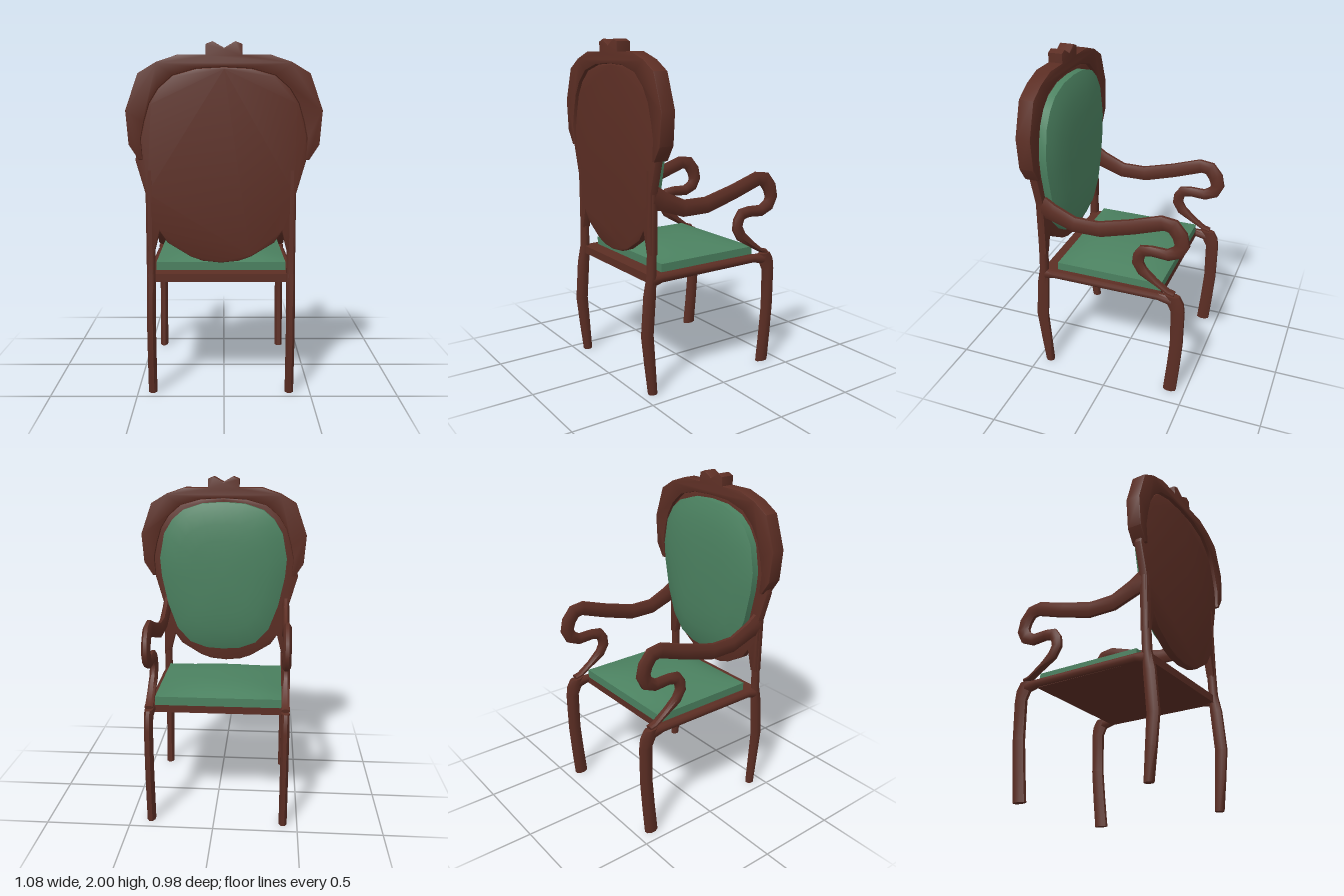
import * as THREE from 'three';
import { toCreasedNormals } from 'three/addons/utils/BufferGeometryUtils.js';

const wood = new THREE.MeshStandardMaterial({ color: 0x5c2e24 });
wood.name = 'dark wood';
const fabric = new THREE.MeshStandardMaterial({ color: 0x4b8160 });
fabric.name = 'green fabric';

const CX = -0.0175; // middle line between the legs
const SIDE = 0.3975; // legs and arms sit this far either side of it

function indexed(pos, idx, crease) {
  const g = new THREE.BufferGeometry();
  g.setAttribute('position', new THREE.Float32BufferAttribute(pos, 3));
  g.setIndex(idx);
  return toCreasedNormals(g, crease);
}

// Octagonal bar in the y-z plane through [z, y, half thickness]; dir fixes the section direction
function bar(points, halfWidth, dir) {
  const pos = [], idx = [], n = 8, k = 1 / Math.cos(Math.PI / n);
  points.forEach(([z, y, h], i) => {
    const a = points[Math.max(i - 1, 0)], b = points[Math.min(i + 1, points.length - 1)];
    const t = dir ? new THREE.Vector2(...dir) : new THREE.Vector2(b[0] - a[0], b[1] - a[1]).normalize();
    for (let j = 0; j < n; j++) {
      const ang = ((j + 0.5) / n) * Math.PI * 2, s = Math.sin(ang) * h * k;
      pos.push(Math.cos(ang) * halfWidth * k, y + t.x * s, z - t.y * s);
      const c = i * n + j, d = i * n + (j + 1) % n;
      if (i < points.length - 1) idx.push(c, d, d + n, c, d + n, c + n);
    }
  });
  const e = (points.length - 1) * n;
  for (let j = 1; j < n - 1; j++) idx.push(0, j + 1, j, e, e + j, e + j + 1);
  return indexed(pos, idx, 0.85);
}

// Flat board cut from an outline, with softened edges, between z0 and z1
function board(outline, z0, z1, bevel) {
  const shape = new THREE.Shape(outline.map(([x, y]) => new THREE.Vector2(x, y)));
  const g = new THREE.ExtrudeGeometry(shape, {
    depth: z1 - z0 - 2 * bevel, bevelEnabled: true, bevelThickness: bevel,
    bevelSize: bevel, bevelOffset: -bevel, bevelSegments: 2,
  });
  g.translate(0, 0, z0 + bevel);
  return toCreasedNormals(g, 0.6);
}

const mirror = (pts, cx = 0) => pts.map(([x, y]) => [2 * cx - x, y]).reverse();

// Seat cushion: a slab with a domed top
function seatCushion() {
  const w = 0.749, d = 0.665;
  const g = new THREE.BoxGeometry(w, 0.1, d, 12, 1, 12);
  const p = g.attributes.position;
  for (let i = 0; i < p.count; i++) {
    const u = Math.abs(p.getX(i)) / (w / 2), v = Math.abs(p.getZ(i)) / (d / 2);
    const dome = (1 - u ** 2.2) * (1 - v ** 3.5);
    p.setY(i, p.getY(i) > 0 ? 0.757 + 0.049 * dome : 0.705);
  }
  g.translate(CX, 0, 0.0125);
  return toCreasedNormals(g, 0.6);
}

// Back cushion: shrinking copies of an oval, bulging towards the seat
function backCushion() {
  const half = [[0, 1.84], [0.14, 1.83], [0.26, 1.79], [0.33, 1.73], [0.385, 1.64], [0.415, 1.48],
    [0.405, 1.36], [0.365, 1.17], [0.305, 1.01], [0.22, 0.915], [0.11, 0.875], [0, 0.868]];
  const loop = [...half, ...mirror(half.slice(1, -1))];
  const n = loop.length, cy = 1.37, pos = [], idx = [];
  const rings = [[1, 0.405], [1, 0.352], [0.9, 0.333], [0.72, 0.314], [0.5, 0.302], [0.25, 0.297]];
  rings.forEach(([s, z], i) => loop.forEach(([x, y], j) => {
    pos.push(x * s, cy + (y - cy) * s, z);
    const a = i * n + j, b = i * n + (j + 1) % n;
    if (i < rings.length - 1) idx.push(a, b, b + n, a, b + n, a + n);
    else idx.push(a, b, rings.length * n);
  }));
  pos.push(0, cy, 0.295);
  return indexed(pos, idx, 0.7);
}

export function createModel() {
  const chair = new THREE.Group();
  chair.name = 'armchair';
  const add = (name, geo, mat, x = 0) => {
    const m = new THREE.Mesh(geo, mat);
    m.name = name;
    m.position.x = x;
    chair.add(m);
  };

  // Legs, rails and arms for both sides
  const up = [0, 1];
  const frontLeg = bar([[-0.4, 0, 0.04], [-0.418, 0.18, 0.039], [-0.433, 0.36, 0.038],
    [-0.435, 0.6, 0.04], [-0.415, 0.665, 0.052], [-0.4, 0.71, 0.042]], 0.024, up);
  const backLeg = bar([[0.425, 0, 0.026], [0.442, 0.18, 0.032], [0.458, 0.36, 0.036], [0.44, 0.6, 0.036],
    [0.427, 0.71, 0.027], [0.424, 0.85, 0.026], [0.422, 1.3, 0.025]], 0.024, up);
  const rail = bar([[0.43, 0.675, 0.034], [0.36, 0.686, 0.025], [-0.31, 0.687, 0.023], [-0.4, 0.675, 0.034]],
    0.024, [-1, 0]);
  const arm = bar([[0.415, 1.15, 0.068], [0.35, 1.122, 0.054], [0.21, 1.067, 0.048], [0.05, 1.067, 0.047],
    [-0.15, 1.122, 0.044], [-0.33, 1.182, 0.043], [-0.39, 1.173, 0.045], [-0.432, 1.12, 0.045],
    [-0.447, 1.06, 0.043], [-0.425, 1.012, 0.04], [-0.365, 0.982, 0.034], [-0.27, 0.987, 0.031],
    [-0.215, 0.978, 0.035], [-0.19, 0.94, 0.034], [-0.184, 0.895, 0.034], [-0.215, 0.84, 0.032],
    [-0.29, 0.785, 0.02], [-0.37, 0.732, 0.013], [-0.41, 0.722, 0.012]], 0.024);
  for (const [side, s] of [['left', 1], ['right', -1]]) {
    const x = CX + s * SIDE;
    add(side + 'FrontLeg', frontLeg, wood, x);
    add(side + 'BackLeg', backLeg, wood, x);
    add(side + 'SeatRail', rail, wood, x);
    add(side + 'Arm', arm, wood, x);
  }

  // Seat base and cushion
  const base = new THREE.BoxGeometry(2 * SIDE, 0.048, 0.755);
  base.translate(CX, 0.685, 0.0575);
  add('seatBase', base, wood);
  add('seatCushion', seatCushion(), fabric);

  // Back panel: rounded top, waisted sides flowing into the legs, oval foot
  const foot = [[0.1, 0.785], [0.17, 0.81], [0.3, 0.89], [0.345, 0.955], [0.376, 0.83],
    [0.42, 0.83], [0.421, 1.17], [0.475, 1.36]].map(([x, y]) => [x + CX, y]);
  const arch = [[0.459, 1.48], [0.44, 1.57], [0.41, 1.67], [0.36, 1.75], [0.28, 1.82], [0.15, 1.856]];
  add('backPanel', board([[CX, 0.775], ...foot, ...arch, [0, 1.864], ...mirror(arch), ...mirror(foot, CX)],
    0.396, 0.447, 0.01), wood);
  add('backCushion', backCushion(), fabric);

  // Carved crest around the top of the back
  const crest = [[0.47, 1.36], [0.525, 1.445], [0.54, 1.63], [0.47, 1.83], [0.37, 1.89], [0.25, 1.93],
    [0.1, 1.93], [0.1, 1.985], [0.062, 2.0]];
  const inner = [[0.45, 1.36], ...arch];
  add('crest', board([...crest, [0, 1.965], ...mirror(crest), ...mirror(inner).reverse(), [0, 1.864],
    ...inner.slice().reverse()], 0.375, 0.465, 0.006), wood);

  return chair;
}
